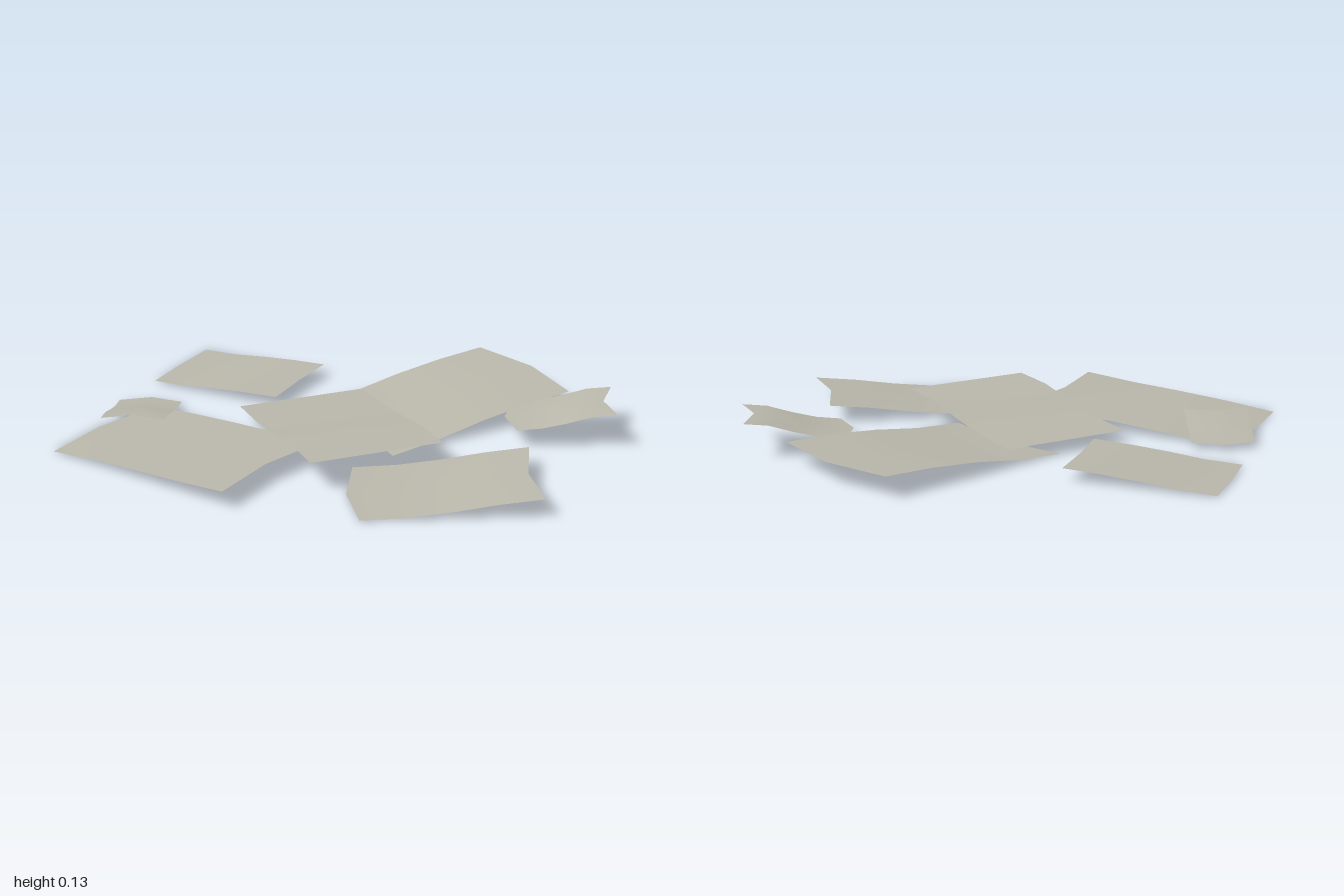
import * as THREE from 'three';

const paper = new THREE.MeshStandardMaterial({ color: 0xb9b6aa, side: THREE.DoubleSide });
paper.name = 'agedPaper';

// A sheet: its crooked end (x, z points) swept along a run (dx, dz) over a curling height profile.
function sheet(name, end, run, heights) {
  const positions = [], index = [];
  const rows = heights.length, cols = end.length;
  heights.forEach((y, i) => {
    const u = i / (rows - 1);
    for (const [x, z] of end) positions.push(x + run[0] * u, y, z + run[1] * u);
  });
  for (let i = 0; i < rows - 1; i++) {
    for (let j = 0; j < cols - 1; j++) {
      const a = i * cols + j, b = a + cols;
      index.push(a, a + 1, b, a + 1, b + 1, b);
    }
  }
  const geometry = new THREE.BufferGeometry();
  geometry.setAttribute('position', new THREE.Float32BufferAttribute(positions, 3));
  geometry.setIndex(index);
  geometry.computeVertexNormals();
  const mesh = new THREE.Mesh(geometry, paper);
  mesh.name = name;
  return mesh;
}

export function createModel() {
  const group = new THREE.Group();
  group.name = 'scatteredSheets';
  group.add(
    // Large sheets
    sheet('backSheet', [[-0.23, -0.18], [0.02, -0.04], [0.22, 0.18]], [0.53, -0.63],
      [0.003, 0.02, 0.052, 0.073, 0.083]),
    sheet('frontRightSheet', [[-0.81, 0.01], [-0.935, 0.265], [-1, 0.53]], [0.78, 0.27],
      [0.004, 0.025, 0.04, 0.052, 0.07]),
    sheet('centreSheet', [[-0.05, -0.31], [-0.25, -0.15], [-0.45, 0.01]], [0.48, 0.56],
      [0.05, 0.058, 0.08, 0.11, 0.115]),
    // Medium sheets
    sheet('backRightSheet', [[-0.84, -0.62], [-0.88, -0.43], [-0.91, -0.23]], [0.56, 0.11],
      [0.008, 0.014, 0.03, 0.042, 0.05]),
    sheet('frontLeftSheet', [[0.11, 0.33], [0.16, 0.56], [0.27, 0.75]], [0.61, -0.23],
      [0.006, 0.012, 0.03, 0.055, 0.073]),
    // Small scraps
    sheet('leftScrap', [[0.56, -0.32], [0.56, -0.17], [0.64, -0.05]], [0.36, -0.1],
      [0.066, 0.076, 0.098, 0.126, 0.135]),
    sheet('rightScrap', [[-0.71, -0.025], [-0.84, -0.035], [-0.95, 0.03]], [0.055, 0.3],
      [0.022, 0.028, 0.045, 0.066, 0.073])
  );
  return group;
}
